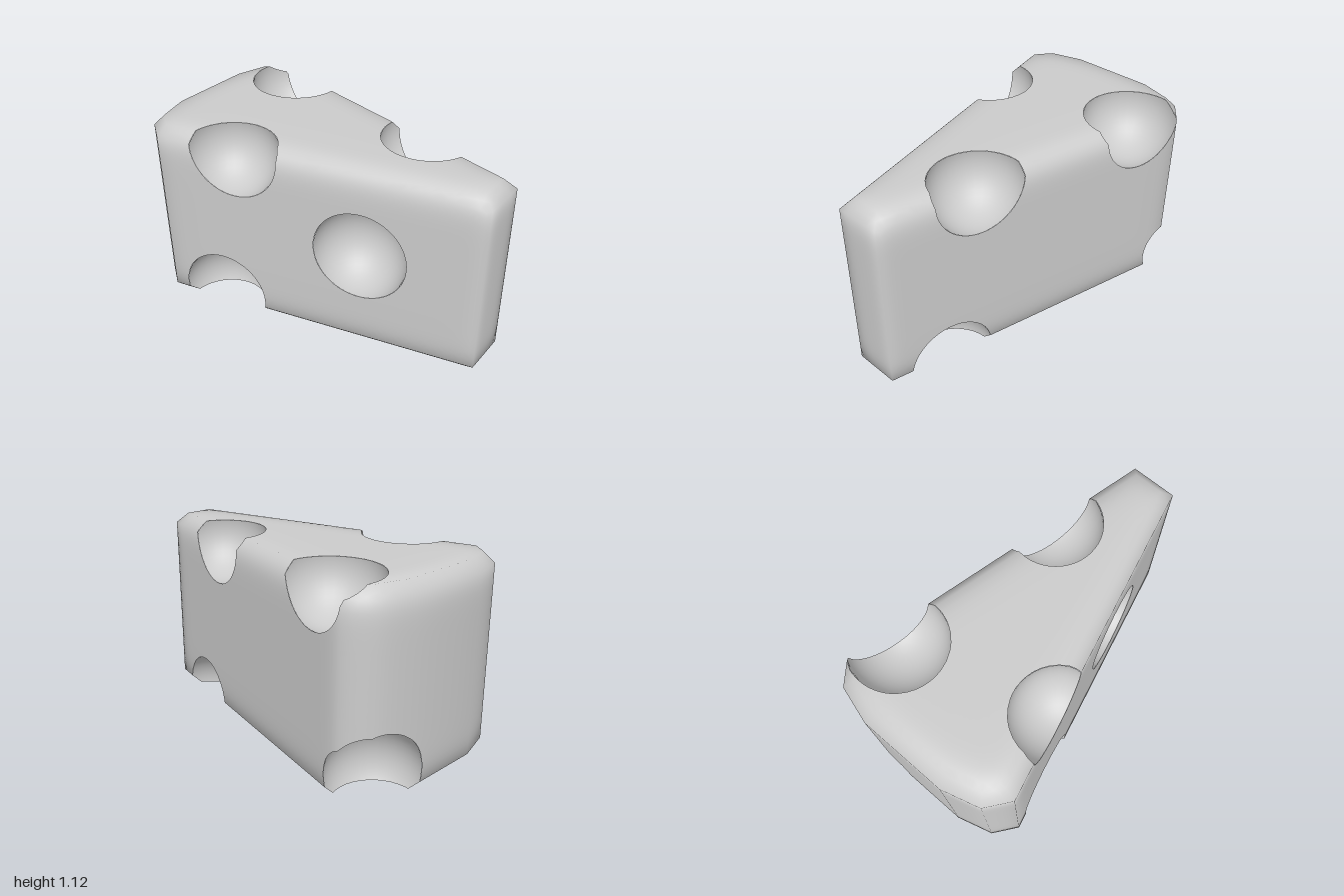
import * as THREE from 'three';

const V = (x, y, z) => new THREE.Vector3(x, y, z);
const HEIGHT = 1.12, BEVEL = 0.06;

// Plan of the wedge as (x, z), from the front tip round the back, mirrored
const half = [[0.13, 1], [0.56, -0.81], [0.46, -0.94], [0.25, -1]];
const plan = [...half, ...half.slice().reverse().map(([x, z]) => [-x, z])];

// Round holes: centre and radius
const holes = [
  [0.40, 1.09, -0.60, 0.27],
  [0.23, 1.07, 0.43, 0.26],
  [-0.46, 1.06, -0.36, 0.26],
  [-0.285, 0.60, 0.35, 0.265],
  [-0.48, 0.10, -0.47, 0.26],
  [0.40, 0.13, -0.92, 0.265],
  [0.22, 0.01, 0.64, 0.25],
].map(([x, y, z, r]) => ({ c: V(x, y, z), r }));

const at = (list, i) => list[(i + list.length) % list.length];

// Outward direction of every plan edge
const edgeNormals = plan.map(([x, z], i) => {
  const [x2, z2] = at(plan, i + 1);
  return V(z - z2, 0, x2 - x).normalize();
});

// One horizontal ring of corners, moved inwards by inset
function ring(y, inset) {
  return plan.map(([x, z], i) => {
    const a = at(edgeNormals, i - 1), b = edgeNormals[i];
    const k = inset / (1 + a.dot(b));
    return V(x - k * (a.x + b.x), y, z - k * (a.z + b.z));
  });
}
const rings = [ring(0, BEVEL), ring(BEVEL, 0), ring(HEIGHT - BEVEL, 0), ring(HEIGHT, BEVEL)];

// Every flat that bounds the wedge
const planes = [];
const addPlane = (n, p) => planes.push(new THREE.Plane().setFromNormalAndCoplanarPoint(n.normalize(), p));
addPlane(V(0, 1, 0), V(0, HEIGHT, 0));
addPlane(V(0, -1, 0), V(0, 0, 0));
edgeNormals.forEach((n, i) => {
  addPlane(n.clone(), rings[1][i]);
  addPlane(n.clone().add(V(0, 1, 0)), rings[2][i]);
  addPlane(n.clone().add(V(0, -1, 0)), rings[1][i]);
});

// Normals blend softly between neighbouring flats
function wedgeNormal(p) {
  const n = V(0, 0, 0);
  for (const pl of planes) n.addScaledVector(pl.normal, Math.exp(-Math.abs(pl.distanceToPoint(p)) / 0.03));
  return n.normalize();
}

// Keep the part of a polygon where field(p) >= 0
function clip(poly, field) {
  const out = [];
  poly.forEach((a, i) => {
    const b = at(poly, i + 1), fa = field(a), fb = field(b);
    if (fa >= 0) out.push(a);
    if ((fa >= 0) !== (fb >= 0)) {
      let inside = fa >= 0 ? a.clone() : b.clone(), outside = fa >= 0 ? b.clone() : a.clone();
      for (let k = 0; k < 16; k++) {
        const mid = inside.clone().lerp(outside, 0.5);
        if (field(mid) >= 0) inside = mid; else outside = mid;
      }
      out.push(inside);
    }
  });
  return out;
}

// Halve the longest edge until the triangle is small
function subdivide(a, b, c, out) {
  const ab = a.distanceTo(b), bc = b.distanceTo(c), ca = c.distanceTo(a);
  const longest = Math.max(ab, bc, ca);
  if (longest < 0.06) { out.push([a, b, c]); return; }
  if (bc === longest) [a, b, c] = [b, c, a];
  else if (ca === longest) [a, b, c] = [c, a, b];
  const m = a.clone().add(b).multiplyScalar(0.5);
  subdivide(a, m, c, out);
  subdivide(m, b, c, out);
}

// Mesh from convex polygons with a normal rule
function meshFrom(polys, normalAt, material, name) {
  const pos = [], nor = [];
  for (const poly of polys) {
    for (let i = 1; i + 1 < poly.length; i++) {
      for (const p of [poly[0], poly[i], poly[i + 1]]) {
        pos.push(p.x, p.y, p.z);
        nor.push(...normalAt(p).toArray());
      }
    }
  }
  const g = new THREE.BufferGeometry();
  g.setAttribute('position', new THREE.Float32BufferAttribute(pos, 3));
  g.setAttribute('normal', new THREE.Float32BufferAttribute(nor, 3));
  const mesh = new THREE.Mesh(g, material);
  mesh.name = name;
  return mesh;
}

export function createModel() {
  const group = new THREE.Group();
  group.name = 'cheeseWedge';
  const material = new THREE.MeshStandardMaterial({ color: 0xcccccc });

  // Wedge skin: walls, bevels and the two caps
  const skin = [];
  const top = V(0, HEIGHT, -0.2), bottom = V(0, 0, -0.2);
  plan.forEach((_, i) => {
    for (let k = 0; k < 3; k++) {
      const a = rings[k][i], b = at(rings[k], i + 1), c = at(rings[k + 1], i + 1), d = rings[k + 1][i];
      subdivide(a, b, c, skin);
      subdivide(a, c, d, skin);
    }
    subdivide(top, rings[3][i], at(rings[3], i + 1), skin);
    subdivide(bottom, at(rings[0], i + 1), rings[0][i], skin);
  });
  const pierced = skin.map((tri) =>
    holes.reduce((poly, h) => clip(poly, (p) => p.distanceTo(h.c) - h.r), tri));
  group.add(meshFrom(pierced, wedgeNormal, material, 'wedgeBody'));

  // Hollow of each hole: the sphere inside the wedge, turned inwards
  holes.forEach((h, n) => {
    const g = new THREE.SphereGeometry(h.r, 36, 24).toNonIndexed();
    const p = g.attributes.position, polys = [];
    for (let i = 0; i < p.count; i += 3) {
      const tri = [2, 1, 0].map((k) => V(0, 0, 0).fromBufferAttribute(p, i + k).add(h.c));
      polys.push(planes.reduce((poly, pl) => clip(poly, (q) => -pl.distanceToPoint(q)), tri));
    }
    group.add(meshFrom(polys, (q) => h.c.clone().sub(q).normalize(), material, `hole${n + 1}`));
  });

  return group;
}
